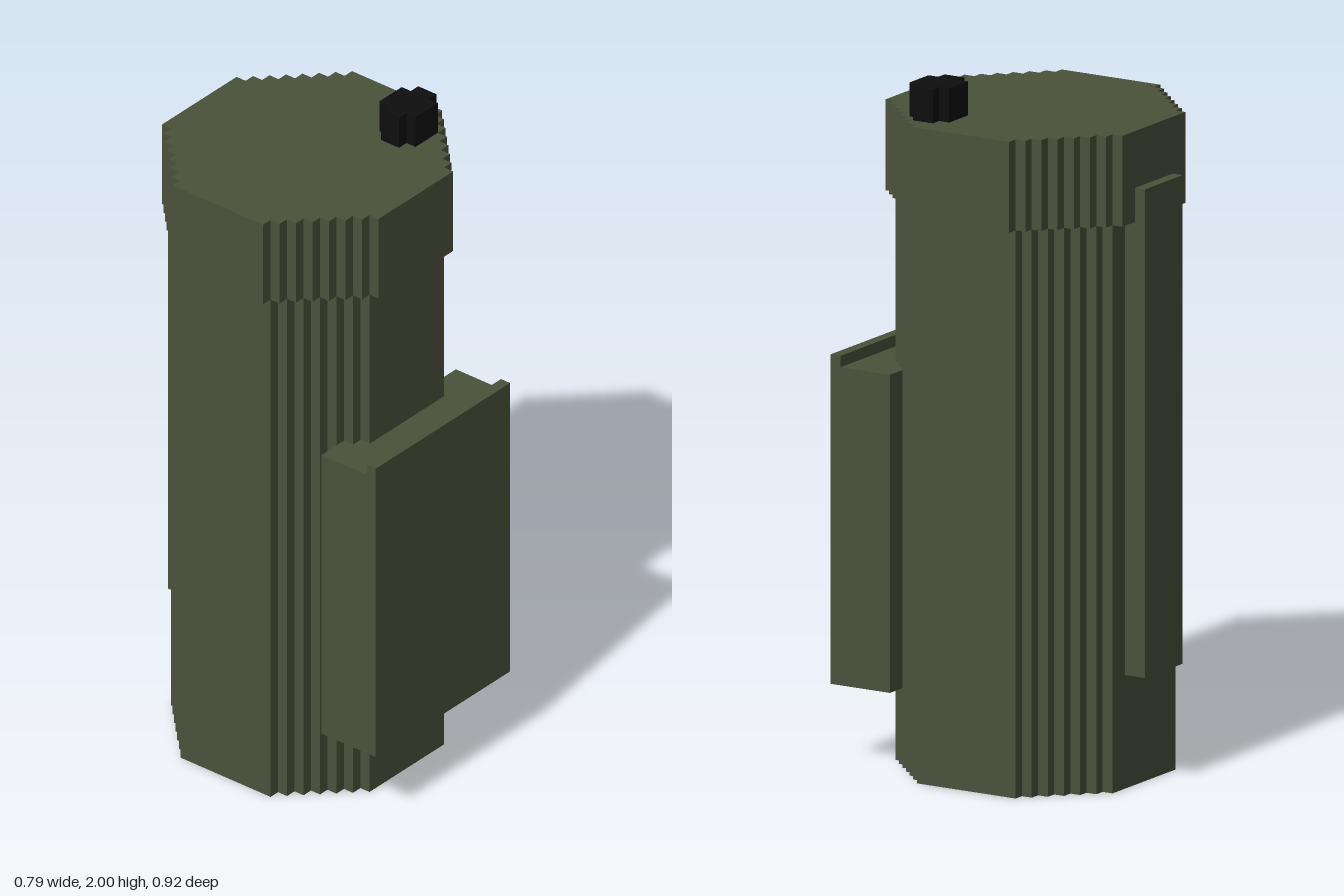
import * as THREE from 'three';

const U = 2 / 61; // one grid step

// Octagon outline with stair-stepped diagonals: r = half width, f = half of the flat side
function steppedOctagon(r, f) {
  const corner = [];
  for (let x = r, y = f; x >= f; x--, y++) {
    corner.push([x, y]);
    if (x > f) corner.push([x - 1, y]);
  }
  const pts = [];
  for (let q = 0; q < 4; q++) {
    for (const [x, y] of corner) {
      const p = new THREE.Vector2(x * U, y * U);
      p.rotateAround(new THREE.Vector2(), q * Math.PI / 2);
      pts.push(p);
    }
  }
  return new THREE.Shape(pts);
}

// Plus-shaped outline, 5 x 4 steps
function plusShape() {
  const pts = [[2.5, -1], [2.5, 1], [1.5, 1], [1.5, 2], [-1.5, 2], [-1.5, 1],
    [-2.5, 1], [-2.5, -1], [-1.5, -1], [-1.5, -2], [1.5, -2], [1.5, -1]];
  return new THREE.Shape(pts.map(([x, y]) => new THREE.Vector2(x * U, y * U)));
}

export function createModel() {
  const green = new THREE.MeshStandardMaterial({ color: 0x4b523b });
  green.name = 'olive green';
  const black = new THREE.MeshStandardMaterial({ color: 0x0e0e0e });
  black.name = 'black';

  const group = new THREE.Group();
  group.name = 'canister';

  const add = (name, geometry, material) => {
    const mesh = new THREE.Mesh(geometry, material);
    mesh.name = name;
    group.add(mesh);
  };
  // Upright prism from y0 to y1, centred on (x, z), in grid steps
  const prism = (name, shape, y0, y1, x, z, material) => {
    const g = new THREE.ExtrudeGeometry(shape, { depth: (y1 - y0) * U, bevelEnabled: false });
    g.rotateX(-Math.PI / 2).translate(x * U, y0 * U, z * U);
    add(name, g, material);
  };
  // Box centred on x = 0, in grid steps
  const box = (name, halfX, y0, y1, z0, z1) => {
    const g = new THREE.BoxGeometry(2 * halfX * U, (y1 - y0) * U, (z1 - z0) * U);
    g.translate(0, (y0 + y1) / 2 * U, (z0 + z1) / 2 * U);
    add(name, g, green);
  };

  // Ribbed body and wider cap
  prism('body', steppedOctagon(11, 5), 0, 50, 0, -1, green);
  prism('cap', steppedOctagon(12, 5), 50, 58, 0, -1, green);

  // Front pouch with a raised lip
  box('pouch', 9, 7, 35, 8, 13);
  box('pouchLip', 9, 7, 36, 13, 14);

  // Flat clip along the back
  box('backClip', 3, 10, 53, -14, -12);

  // Knob on the cap
  prism('knob', plusShape(), 58, 61, 7.5, 4, black);

  return group;
}
